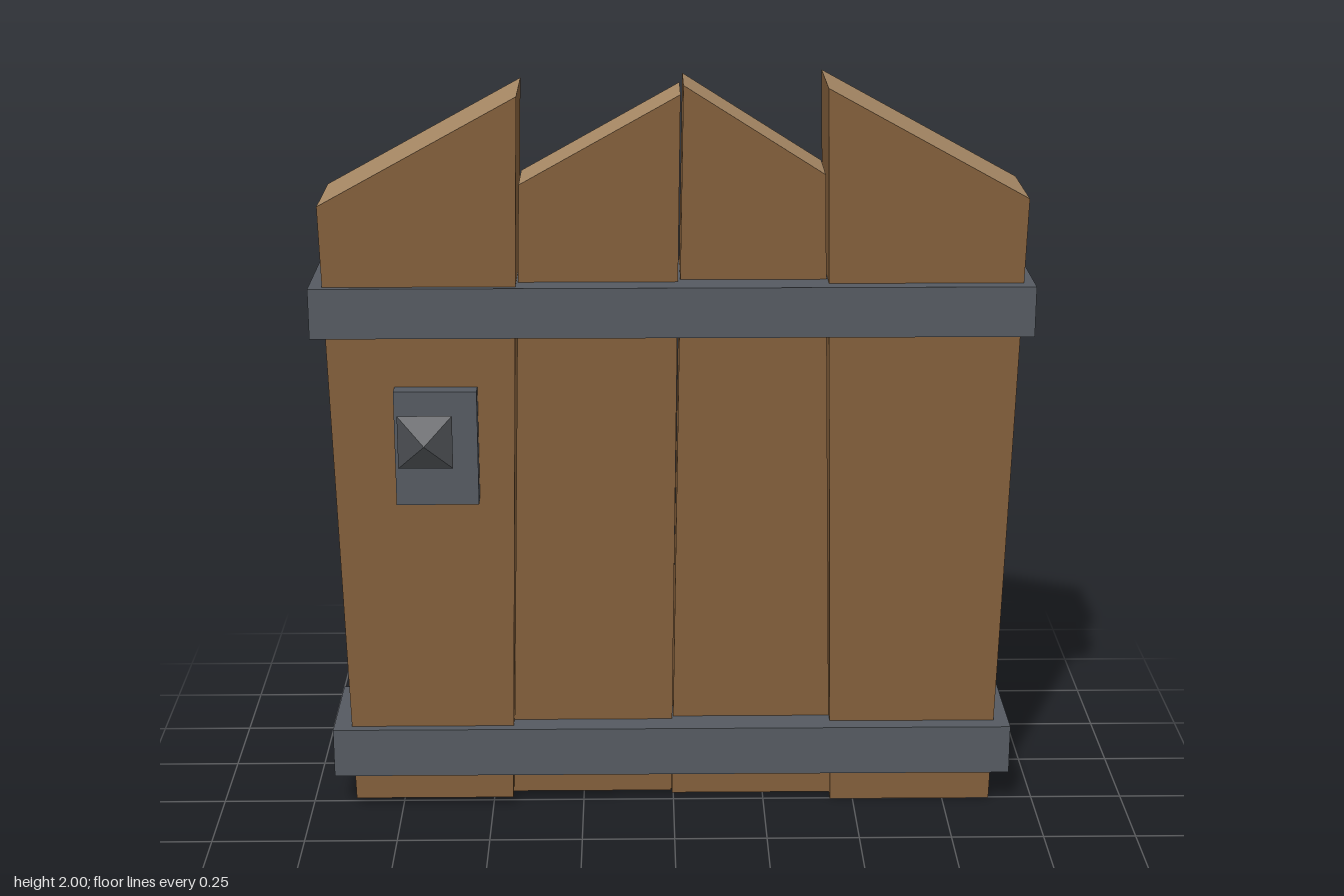
import * as THREE from 'three';

const mat = (name, color, extra = {}) => {
  const m = new THREE.MeshStandardMaterial({ color, flatShading: true, ...extra });
  m.name = name;
  return m;
};

// Tapered plank, open underneath, with a slanted sawn top.
// bottom: [xLeft, xRight, zBack, zFront, y]; top: [xLeft, xRight, zBack, zFront, yLeft, yRight]
function plankGeometry([bl, br, bb, bf, by], [tl, tr, tb, tf, yl, yr]) {
  const lower = [[bl, by, bf], [br, by, bf], [br, by, bb], [bl, by, bb]];
  const upper = [[tl, yl, tf], [tr, yr, tf], [tr, yr, tb], [tl, yl, tb]];
  const pos = [];
  const quad = (a, b, c, d) => pos.push(...a, ...b, ...c, ...a, ...c, ...d);
  for (let i = 0; i < 4; i++) {
    const j = (i + 1) % 4;
    quad(lower[i], lower[j], upper[j], upper[i]);
  }
  quad(...upper);
  const g = new THREE.BufferGeometry();
  g.setAttribute('position', new THREE.Float32BufferAttribute(pos, 3));
  g.addGroup(0, 24, 0);
  g.addGroup(24, 6, 1);
  g.computeVertexNormals();
  return g;
}

export function createModel() {
  const wood = mat('wood', 0x835f3b, { side: THREE.DoubleSide });
  const cutWood = mat('cut wood', 0xa98a66);
  const iron = mat('iron', 0x555a61);
  const darkIron = mat('dark iron', 0x4a4d51);

  const group = new THREE.Group();
  group.name = 'plankDoor';
  const add = (name, geometry, material, parent = group) => {
    const mesh = new THREE.Mesh(geometry, material);
    mesh.name = name;
    parent.add(mesh);
    return mesh;
  };
  // Box given by its limits
  const addBox = (name, x0, x1, y0, y1, z0, z1) =>
    add(name, new THREE.BoxGeometry(x1 - x0, y1 - y0, z1 - z0), iron)
      .position.set((x0 + x1) / 2, (y0 + y1) / 2, (z0 + z1) / 2);

  // Four planks, from the handle side across
  const planks = [
    [[-0.88, -0.445, -0.23, 0.025, 0.02], [-0.922, -0.402, -0.24, 0.037, 1.70, 1.985]],
    [[-0.445, -0.006, -0.19, -0.015, 0.02], [-0.402, 0.018, -0.195, -0.013, 1.745, 1.98]],
    [[-0.004, 0.437, -0.213, -0.033, 0.004], [0.026, 0.397, -0.22, -0.035, 2.0, 1.765]],
    [[0.437, 0.88, -0.249, 0.005, 0], [0.397, 0.925, -0.266, 0.012, 2.0, 1.71]],
  ];
  planks.forEach(([b, t], i) => add(`plank${i + 1}`, plankGeometry(b, t), [wood, cutWood]));

  // Iron bands
  addBox('upperBand', -0.953, 0.947, 1.35, 1.485, -0.253, 0.053);
  addBox('lowerBand', -0.935, 0.927, 0.10, 0.237, -0.253, 0.053);

  // Handle: back plate, flaring stem and pyramid knob
  addBox('handlePlate', -0.737, -0.518, 0.90, 1.213, 0.02, 0.078);
  const handle = new THREE.Group();
  handle.name = 'handle';
  handle.position.set(-0.645, 1.12, 0);
  group.add(handle);

  const stem = new THREE.CylinderGeometry(0.042, 0.022, 0.14, 6, 1);
  stem.rotateX(Math.PI / 2).translate(0, 0, 0.135);
  add('handleStem', stem, darkIron, handle);

  const r = Math.SQRT2;
  const profile = [[0, 0.197], [0.035 * r, 0.199], [0.071 * r, 0.221], [0, 0.262]]
    .map(([x, y]) => new THREE.Vector2(x, y));
  const knob = new THREE.LatheGeometry(profile, 4).toNonIndexed();
  knob.rotateY(Math.PI / 4).rotateX(Math.PI / 2);
  knob.computeVertexNormals();
  add('handleKnob', knob, darkIron, handle);

  return group;
}
